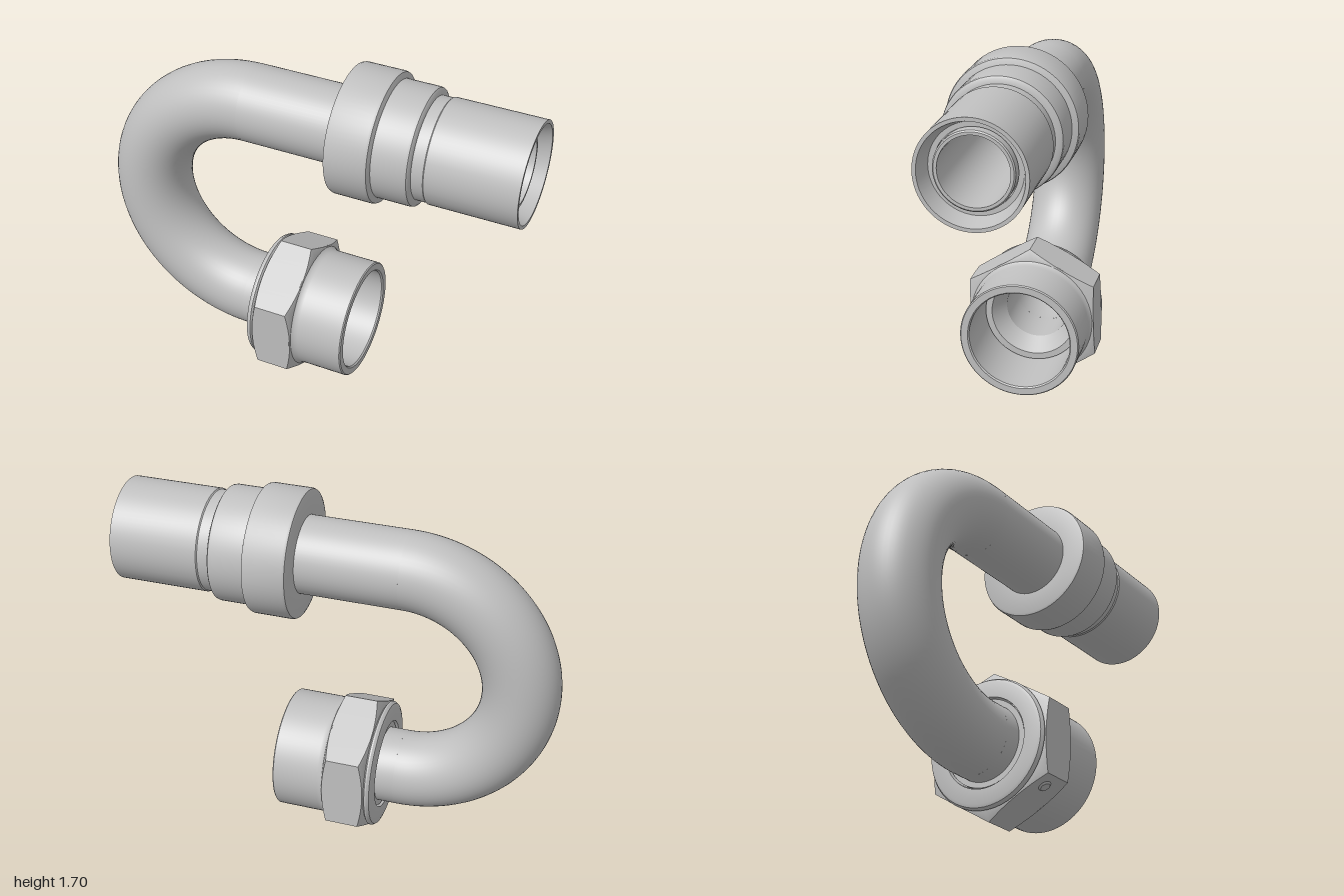
import * as THREE from 'three';
import { toCreasedNormals } from 'three/addons/utils/BufferGeometryUtils.js';

const TOP_Y = 1.41, LOW_Y = 0.345;
const BEND_X = -0.29, BEND_R = (TOP_Y - LOW_Y) / 2;
const PIPE_R = 0.175, BORE_R = 0.147;
const HEX_IN = 0.295, HEX_START = THREE.MathUtils.degToRad(-88);

export function createModel() {
  const steel = new THREE.MeshStandardMaterial({ color: 0xc0c0c0, side: THREE.DoubleSide });
  steel.name = 'light grey steel';
  const model = new THREE.Group();
  model.name = 'bentPipeFitting';

  const add = (name, geometry, y, parent = model) => {
    const mesh = new THREE.Mesh(geometry, steel);
    mesh.name = name;
    mesh.position.y = y;
    parent.add(mesh);
    return mesh;
  };

  // Closed [radius, x] profile turned round the x axis
  const turned = (profile, segments = 72, start = 0) => {
    const points = [...profile, profile[0]].map(([r, x]) => new THREE.Vector2(r, x));
    return new THREE.LatheGeometry(points, segments, start);
  };
  const finish = (geometry) => toCreasedNormals(geometry.rotateZ(-Math.PI / 2), 0.5);

  // U bend, outer wall and bore
  for (const [name, r] of [['bendWall', PIPE_R], ['bendBore', BORE_R]]) {
    const bend = new THREE.TorusGeometry(BEND_R, r, 48, 72, Math.PI).rotateZ(Math.PI / 2);
    add(name, bend, (TOP_Y + LOW_Y) / 2).position.x = BEND_X;
  }

  // Upper straight pipe, ending as the inner tube of the spigot
  add('upperPipe', finish(turned([
    [BORE_R, BEND_X], [PIPE_R, BEND_X], [PIPE_R, 0.9], [0.166, 0.9],
    [0.166, 0.95], [0.16, 0.955], [BORE_R, 0.955],
  ])), TOP_Y);

  // Stepped spigot with collar, shoulder, groove and recessed mouth
  add('stepSpigot', finish(turned([
    [0.17, 0.17], [0.275, 0.17], [0.286, 0.174], [0.29, 0.185],
    [0.29, 0.355], [0.286, 0.366], [0.275, 0.37], [0.26, 0.374],
    [0.26, 0.52], [0.257, 0.531], [0.248, 0.537], [0.227, 0.54],
    [0.227, 0.592], [0.232, 0.597], [0.232, 1.0], [0.216, 1.0],
    [0.192, 0.92], [0.17, 0.92],
  ])), TOP_Y);

  // Lower straight pipe with a coned seat inside the nut
  add('lowerPipe', finish(turned([
    [BORE_R, BEND_X], [PIPE_R, BEND_X], [PIPE_R, -0.205], [0.2, -0.205],
    [0.2, -0.13], [0.23, -0.1], [0.23, -0.02], [0.2, -0.02], [BORE_R, -0.1],
  ])), LOW_Y);

  // Union nut: round body plus hexagon
  const nut = new THREE.Group();
  nut.name = 'unionNut';
  nut.position.y = LOW_Y;
  model.add(nut);

  add('nutBody', finish(turned([
    [0.207, -0.215], [0.274, -0.215], [0.288, -0.21], [0.296, -0.198],
    [0.296, -0.19], [0.285, -0.183], [0.27, -0.17], [0.27, 0.0],
    [0.296, 0.01], [0.287, 0.018], [0.28, 0.03], [0.277, 0.045],
    [0.277, 0.255], [0.272, 0.26], [0.241, 0.26], [0.235, 0.253],
    [0.235, -0.085], [0.207, -0.13],
  ])), 0, nut);

  // Hexagon: the outer rings follow six flats, and the chamfer follows the radius
  const hex = turned([
    [0.26, -0.182], [0.29, -0.182], [1, -0.18], [1, 0.014], [0.29, 0.016], [0.26, 0.016],
  ], 96, HEX_START);
  const pos = hex.attributes.position;
  for (let i = 0; i < pos.count; i++) {
    const r = Math.hypot(pos.getX(i), pos.getZ(i));
    if (r < 0.5) continue;
    const phi = Math.atan2(pos.getX(i), pos.getZ(i)) - HEX_START + 4 * Math.PI;
    const flatR = HEX_IN / Math.cos((phi % (Math.PI / 3)) - Math.PI / 6);
    const inset = (flatR - HEX_IN) * 0.45;
    const x = pos.getY(i);
    pos.setXYZ(i, pos.getX(i) * flatR / r, x < -0.1 ? x + inset : x - inset, pos.getZ(i) * flatR / r);
  }
  add('nutHexagon', finish(hex), 0, nut);

  // Small round mark on the lower front flat
  const tilt = HEX_START + Math.PI * 5 / 6;
  const normal = new THREE.Vector3(0, -Math.sin(tilt), Math.cos(tilt));
  const along = new THREE.Vector3(0, Math.cos(tilt), Math.sin(tilt));
  const mark = add('nutMark', toCreasedNormals(new THREE.CylinderGeometry(0.022, 0.03, 0.009, 24), 0.5), 0, nut);
  mark.position.copy(normal).multiplyScalar(HEX_IN + 0.003).addScaledVector(along, 0.107);
  mark.position.x = -0.1;
  mark.quaternion.setFromUnitVectors(new THREE.Vector3(0, 1, 0), normal);

  return model;
}
